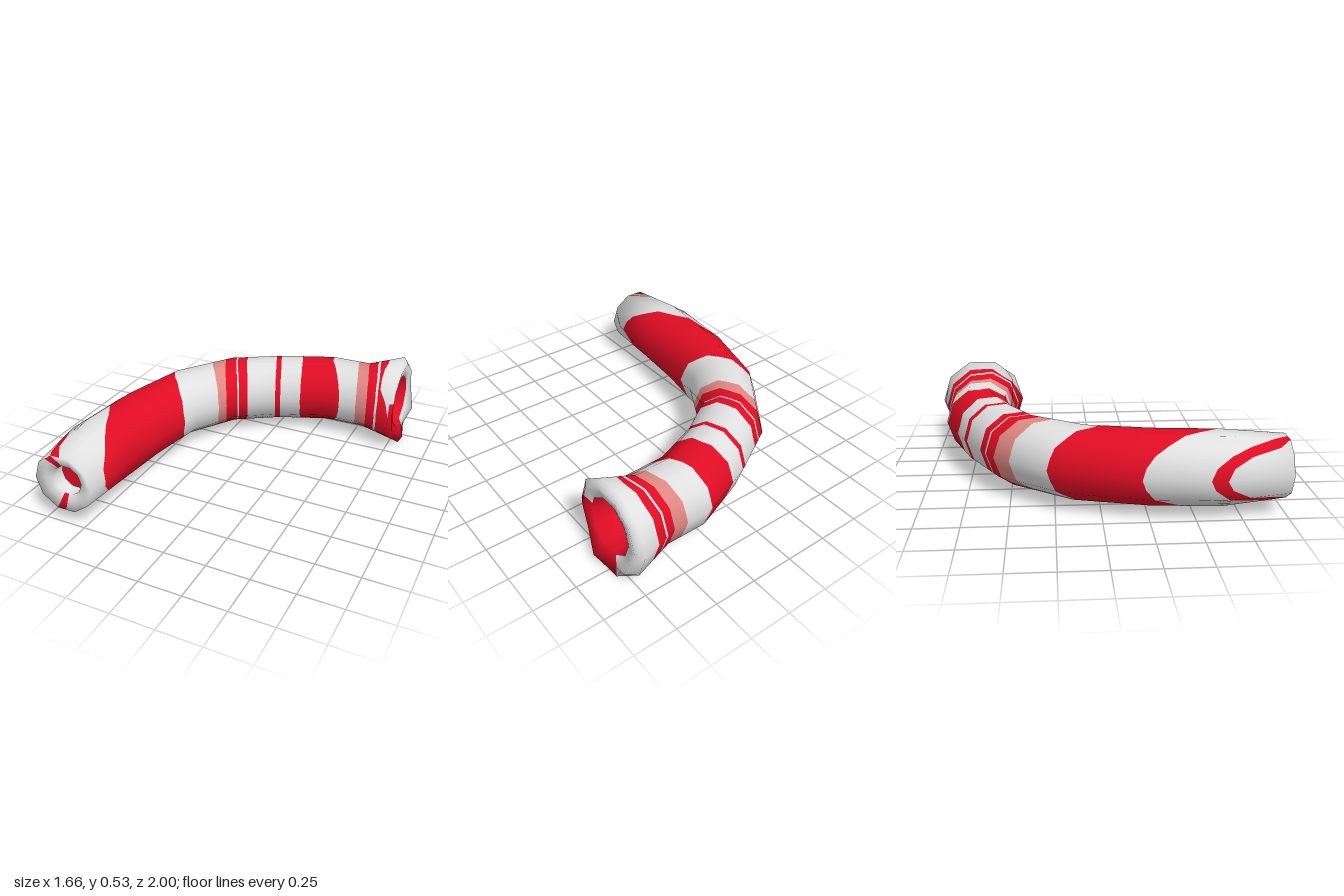
import * as THREE from 'three';

const material = (name, color) => {
  const m = new THREE.MeshStandardMaterial({ color });
  m.name = name;
  return m;
};

// Ten-sided rings: inner-bend point x, z; outer-bend point x, z; centre height; vertical radius; normal tilt
const RINGS = [
  [-0.52, 0.88, -0.70, 0.88, 0.255, 0.09, -3.1],   // -2 small hole, deep
  [-0.52, 0.96, -0.70, 0.96, 0.255, 0.09, -2.5],   // -1 small hole, edge
  [-0.43, 1.00, -0.79, 1.00, 0.255, 0.175, -0.8],  //  0 small end
  [-0.415, 0.64, -0.83, 0.64, 0.255, 0.21, -0.06],
  [-0.385, 0.33, -0.79, 0.21, 0.255, 0.21, 0],
  [-0.33, 0.00, -0.665, -0.23, 0.255, 0.21, 0],
  [-0.18, -0.255, -0.39, -0.60, 0.255, 0.21, 0],
  [0.04, -0.40, -0.06, -0.79, 0.255, 0.21, 0],
  [0.31, -0.51, 0.28, -0.925, 0.255, 0.21, 0],
  [0.57, -0.52, 0.52, -0.925, 0.255, 0.21, -0.15],
  [0.765, -0.455, 0.75, -1.00, 0.265, 0.278, 0.2], //  8 flared end
  [0.785, -0.49, 0.785, -0.96, 0.265, 0.235, 1.2],
  [0.77, -0.555, 0.77, -0.885, 0.265, 0.165, 2.4],
  [0.60, -0.58, 0.60, -0.85, 0.265, 0.135, 3.1],
  [0.50, -0.59, 0.50, -0.84, 0.265, 0.125, 3.1],   // 12 mouth floor
];
const FIRST = -2, SIDES = 10, COLS = 20;

// Uneven bumps on the flared rim: ring -> side -> push along x
const BUMPS = { 8: { 7: 0.04, 8: 0.045 }, 9: { 6: 0.035, 8: 0.045 } };

function corner(ring, side) {
  const [xi, zi, xo, zo, cy, ry, tilt] = RINGS[ring - FIRST];
  const k = side % SIDES, a = (k / SIDES) * Math.PI * 2;
  const c = Math.cos(a), s = Math.sin(a);
  const d = new THREE.Vector3((xi - xo) / 2, 0, (zi - zo) / 2);
  const p = new THREE.Vector3((xi + xo) / 2 + (BUMPS[ring]?.[k] ?? 0), cy + ry * s, (zi + zo) / 2)
    .addScaledVector(d, c);
  d.normalize();
  const n = new THREE.Vector3(d.z, 0, -d.x).multiplyScalar(Math.sin(tilt));
  n.addScaledVector(d, c * Math.cos(tilt));
  n.y += s * Math.cos(tilt);
  return { p, n };
}

// Point and normal anywhere on the faceted tube
function surface(s, col) {
  const r = Math.min(Math.floor(s), FIRST + RINGS.length - 2), f = s - r;
  const u = (col * SIDES) / COLS, k = Math.floor(u), g = u - k;
  const [a, b, c, d] = [corner(r, k), corner(r, k + 1), corner(r + 1, k), corner(r + 1, k + 1)];
  const mix = (q) => a[q].clone().lerp(b[q], g).lerp(c[q].clone().lerp(d[q], g), f);
  return { p: mix('p'), n: mix('n').normalize() };
}

// Strip of tube between two boundaries, each a function of the column
function band(name, mat, from, to, steps, keep = () => true) {
  const pos = [], nor = [];
  const add = (...vs) => vs.forEach(({ p, n }) => { pos.push(p.x, p.y, p.z); nor.push(n.x, n.y, n.z); });
  for (let j = 0; j < COLS; j++) {
    if (!keep(j)) continue;
    if (to(j) - from(j) < 1e-4 && to(j + 1) - from(j + 1) < 1e-4) continue;
    const at = (i, col) => surface(THREE.MathUtils.lerp(from(col), to(col), i / steps), col);
    for (let i = 0; i < steps; i++) {
      const a = at(i, j), b = at(i + 1, j), c = at(i + 1, j + 1), d = at(i, j + 1);
      add(a, b, c, a, c, d);
    }
  }
  const geo = new THREE.BufferGeometry();
  geo.setAttribute('position', new THREE.Float32BufferAttribute(pos, 3));
  geo.setAttribute('normal', new THREE.Float32BufferAttribute(nor, 3));
  const mesh = new THREE.Mesh(geo, mat);
  mesh.name = name;
  return mesh;
}

// Stripe ends along the tube: outer bend, middle, inner bend, extra reach towards the lower mouth
const STRIPES = [
  ['white', 1.0, -1.0, -3.0], ['red', 1.2, -0.2, -1.6],
  ['white', 2.02, 1.3, 0.36], ['red', 3.17, 2.85, 2.64],
  ['white', 3.73, 3.6, 3.55], ['pink', 3.97, 3.85, 3.75],
  ['red', 4.18, 4.06, 4.03], ['white', 4.22, 4.09, 4.07],
  ['red', 4.38, 4.28, 4.28], ['white', 4.85, 4.9, 4.96],
  ['red', 4.96, 5.0, 5.08], ['white', 5.3, 5.43, 5.52],
  ['red', 5.94, 6.05, 6.45], ['white', 6.62, 6.75, 6.87],
  ['pink', 6.97, 7.02, 7.2], ['red', 7.2, 7.3, 7.5],
  ['white', 7.26, 7.38, 7.58], ['red', 7.52, 7.6, 7.55, 0.8],
  ['white', 8, 8, 8],
];

export function createModel() {
  const mats = {
    white: material('white', 0xe0e0e0),
    red: material('red', 0xe00d24),
    pink: material('pink', 0xe08884),
  };
  const model = new THREE.Group();
  model.name = 'stripedHorn';

  // Striped outer tube
  const mouthSide = (col) => Math.cos((col / COLS) * Math.PI * 2 - 5.41);
  let from = () => 0;
  for (const [color, outer, mid, inner, reach = 0] of STRIPES) {
    const to = (col) => {
      const c = Math.cos((col / COLS) * Math.PI * 2);
      const s = mid + (c < 0 ? (outer - mid) * -c : (inner - mid) * c);
      return THREE.MathUtils.clamp(s + reach * Math.max(0, mouthSide(col)), 0, 8);
    };
    model.add(band(color + 'Stripe', mats[color], from, to, 12));
    from = to;
  }

  // Plain rings that fold into the holes
  const plain = (name, color, a, b, keep) =>
    model.add(band(name, mats[color], () => a, () => b, 2 * (b - a), keep));
  const lipRed = (j) => mouthSide(j + 0.5) > 0.5;
  plain('mouthLipRed', 'red', 8, 10, lipRed);
  plain('mouthLipWhite', 'white', 8, 10, (j) => !lipRed(j));
  plain('mouthWall', 'red', 10, 12);
  const tipRed = (j) => j === 6 || j === 14;
  plain('tipLipRed', 'red', -1, 0, tipRed);
  plain('tipLipWhite', 'white', -1, 0, (j) => !tipRed(j));
  plain('tipWall', 'white', -2, -1);

  // Floors of the two holes
  const tipFloor = new THREE.Mesh(new THREE.CircleGeometry(0.095, SIDES), mats.red);
  tipFloor.name = 'tipFloor';
  tipFloor.position.set(-0.61, 0.255, 0.885);
  const mouthFloor = new THREE.Mesh(new THREE.CircleGeometry(0.13, SIDES).rotateY(Math.PI / 2), mats.white);
  mouthFloor.name = 'mouthFloor';
  mouthFloor.position.set(0.502, 0.265, -0.715);
  const slit = new THREE.Mesh(new THREE.BoxGeometry(0.006, 0.11, 0.012), mats.red);
  slit.name = 'mouthFloorStripe';
  slit.position.set(0.504, 0.25, -0.69);
  model.add(tipFloor, mouthFloor, slit);

  return model;
}
